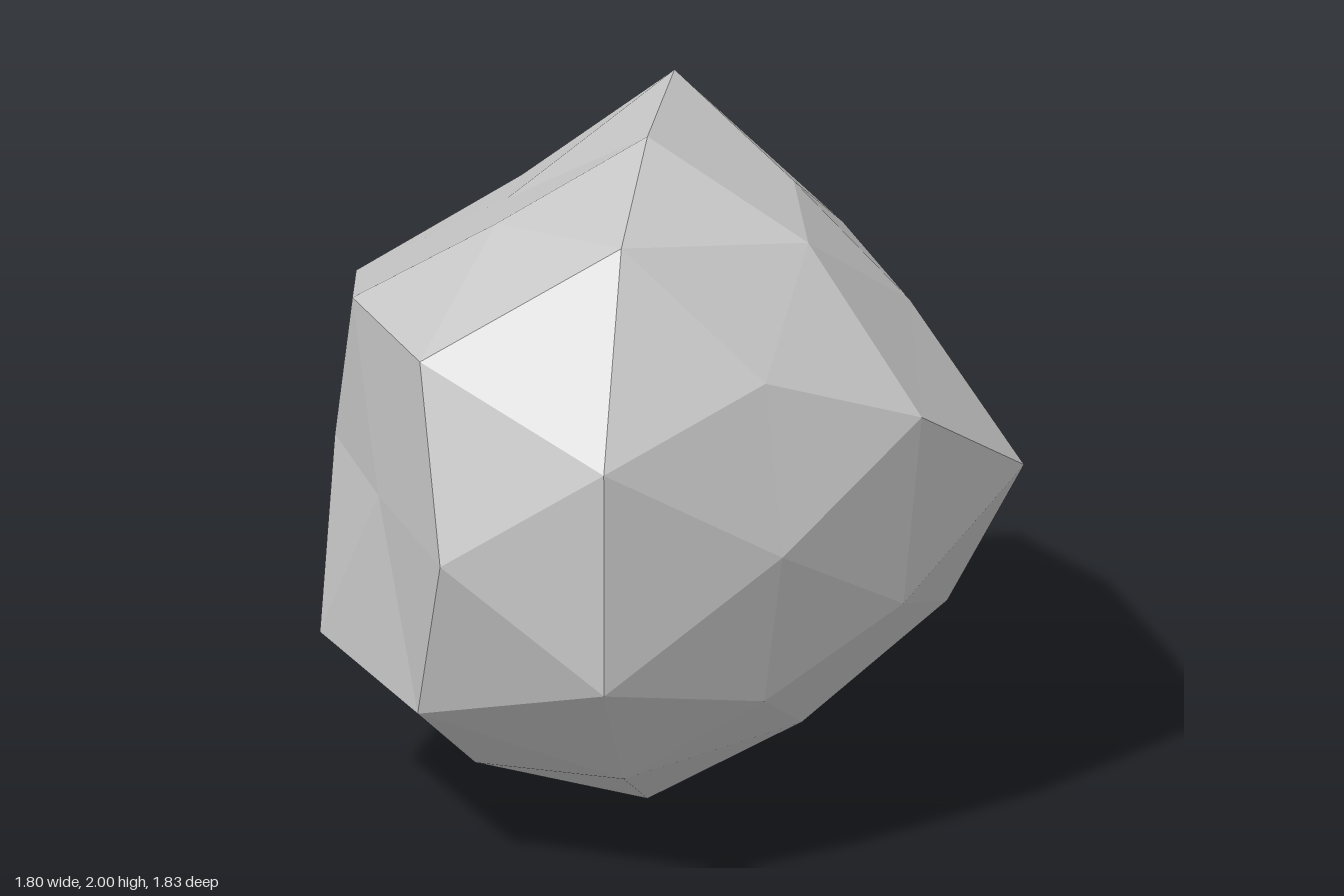
import * as THREE from 'three';

// Distance of each corner from the stone's centre, grouped by corner direction
// (|x|,|y|,|z| in tenths). Within a group, signs run + before -, x first, z last.
const RADII = {
  '3,8,5': [0.915, 1.09, 0.88, 1.05, 1.055, 0.8, 0.955, 0.94],
  '5,3,8': [0.965, 0.85, 0.9, 0.887, 1.09, 1.025, 1.08, 1.025],
  '8,5,3': [0.85, 0.905, 0.97, 1.075, 1.055, 0.955, 1.065, 1.06],
  '9,0,5': [1.06, 0.92, 1.055, 0.88],
  '5,9,0': [0.857, 0.86, 0.89, 1.01],
  '0,5,9': [0.92, 0.98, 0.91, 0.835],
  '10,0,0': [0.905, 0.83],
  '0,10,0': [0.94, 1.06],
  '0,0,10': [0.895, 0.935],
};

function cornerRadius(v) {
  const axes = v.toArray();
  const key = axes.map((a) => Math.round(Math.abs(a) * 10)).join(',');
  const index = axes
    .filter((a) => Math.abs(a) > 0.05)
    .reduce((i, a) => i * 2 + (a < 0 ? 1 : 0), 0);
  return RADII[key][index];
}

export function createModel() {
  const group = new THREE.Group();
  group.name = 'rock';

  const stone = new THREE.MeshStandardMaterial({ color: 0xc8c8c8, flatShading: true });
  stone.name = 'pale stone grey';

  // Faceted boulder: a once-divided icosahedron with every corner pushed in or out
  const geometry = new THREE.IcosahedronGeometry(1, 1);
  const position = geometry.attributes.position;
  const v = new THREE.Vector3();
  for (let i = 0; i < position.count; i++) {
    v.fromBufferAttribute(position, i);
    v.multiplyScalar(cornerRadius(v));
    position.setXYZ(i, v.x, v.y, v.z);
  }
  geometry.computeVertexNormals();

  const boulder = new THREE.Mesh(geometry, stone);
  boulder.name = 'boulder';
  boulder.position.set(-0.005, 1.06, 0.02);
  group.add(boulder);
  return group;
}
